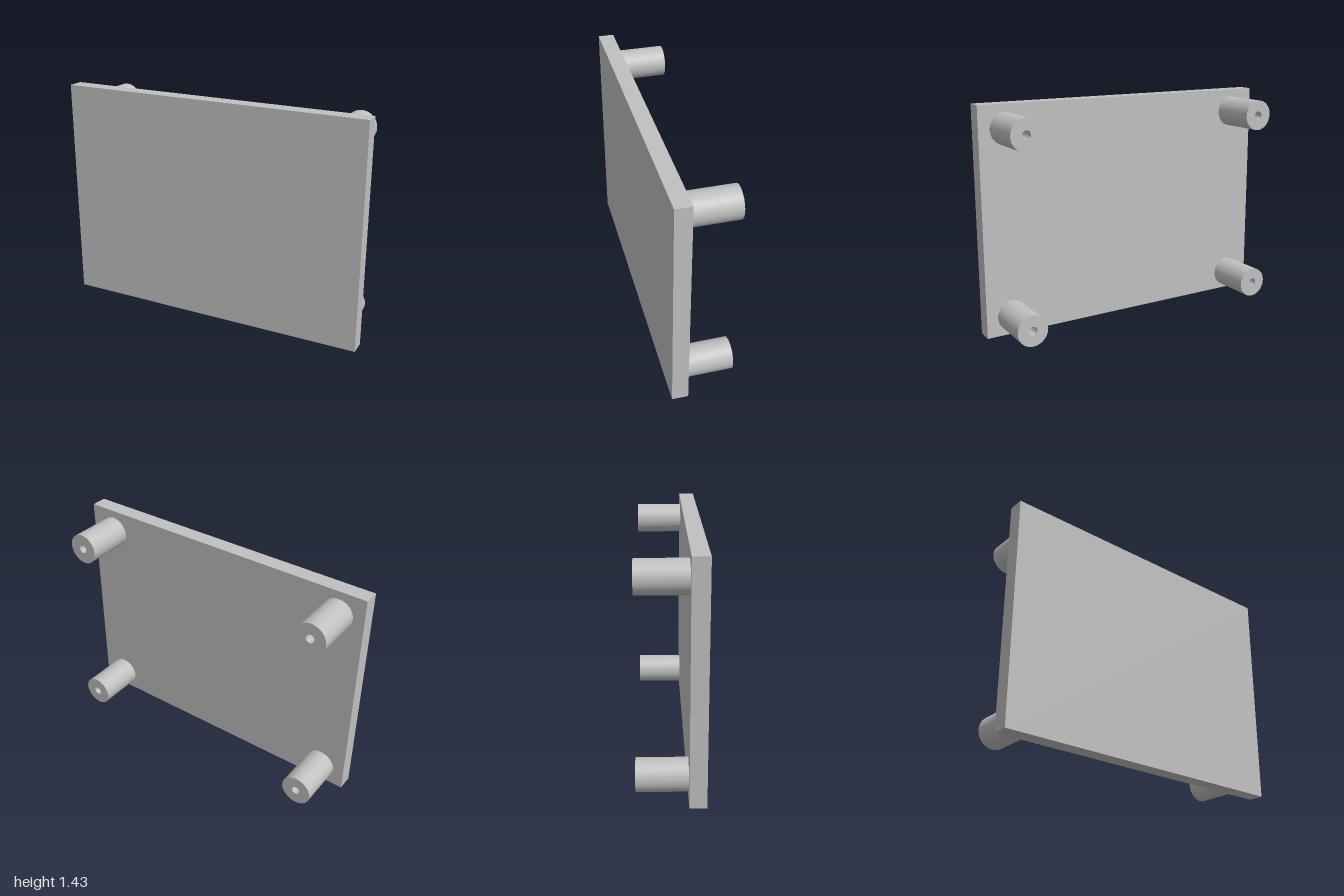
import * as THREE from 'three';
import { toCreasedNormals } from 'three/addons/utils/BufferGeometryUtils.js';

export function createModel() {
  const group = new THREE.Group();
  const grey = new THREE.MeshStandardMaterial({ color: 0xc0c0c0 });
  grey.name = 'plain grey';

  // Flat upright panel
  const plate = new THREE.Mesh(new THREE.BoxGeometry(2, 1.43, 0.1), grey);
  plate.name = 'plate';
  plate.position.set(0, 0.715, 0.15);
  group.add(plate);

  // Round standoff with a screw hole along its axis
  const outline = new THREE.Shape().absarc(0, 0, 0.098, 0, Math.PI * 2);
  outline.holes.push(new THREE.Path().absarc(0, 0, 0.027, 0, Math.PI * 2, true));
  const postGeometry = toCreasedNormals(
    new THREE.ExtrudeGeometry(outline, { depth: 0.3, bevelEnabled: false, curveSegments: 24 }),
    Math.PI / 6
  );

  // One standoff behind each corner
  for (const [side, x] of [['Left', 0.83], ['Right', -0.83]]) {
    for (const [level, y] of [['upper', 1.283], ['lower', 0.121]]) {
      const post = new THREE.Mesh(postGeometry, grey);
      post.name = `${level}${side}Standoff`;
      post.position.set(x, y, -0.2);
      group.add(post);
    }
  }
  return group;
}
